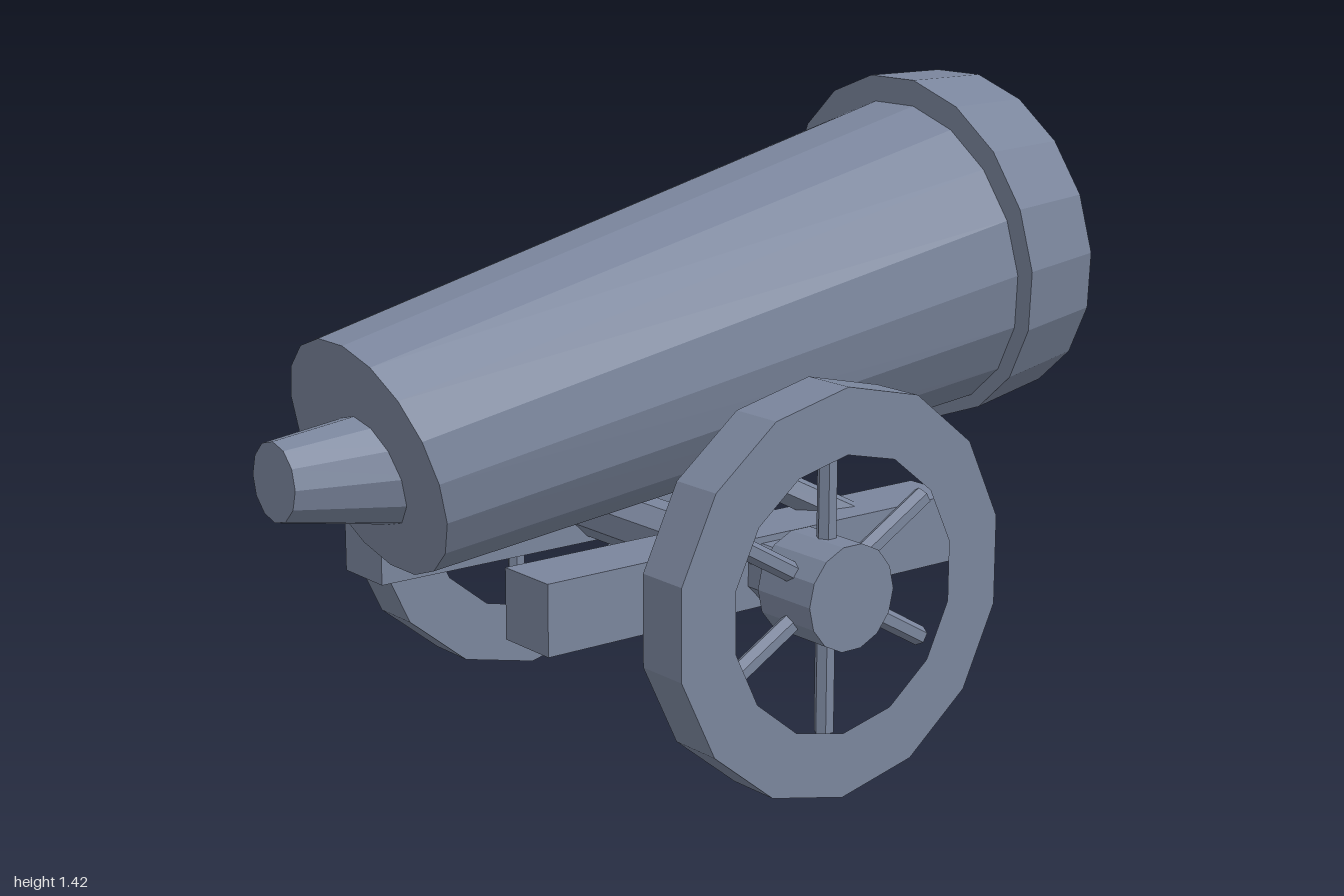
import * as THREE from 'three';

const iron = new THREE.MeshStandardMaterial({ color: 0x7a859c });
iron.name = 'slate iron';

// Faceted mesh: every face gets its own normal
function part(name, geometry, parent) {
  const g = geometry.index ? geometry.toNonIndexed() : geometry;
  g.computeVertexNormals();
  const mesh = new THREE.Mesh(g, iron);
  mesh.name = name;
  parent.add(mesh);
  return mesh;
}

// Closed loft through tilted polygon rings [z, y, radius, tilt], listed front to back
function loft(rings, sides) {
  const pos = [];
  const point = ([z, y, r, tilt], i) => {
    const a = (i / sides) * Math.PI * 2;
    const h = r * Math.sin(a);
    return [r * Math.cos(a), y + h * Math.cos(tilt), z + h * Math.sin(tilt)];
  };
  const first = rings[0], last = rings[rings.length - 1];
  for (let i = 0; i < sides; i++) {
    for (let k = 0; k + 1 < rings.length; k++) {
      const p0 = point(rings[k], i), p1 = point(rings[k], i + 1);
      const q0 = point(rings[k + 1], i), q1 = point(rings[k + 1], i + 1);
      pos.push(...p0, ...q0, ...p1, ...p1, ...q0, ...q1);
    }
    pos.push(0, first[1], first[0], ...point(first, i), ...point(first, i + 1));
    pos.push(0, last[1], last[0], ...point(last, i + 1), ...point(last, i));
  }
  const g = new THREE.BufferGeometry();
  g.setAttribute('position', new THREE.Float32BufferAttribute(pos, 3));
  return g;
}

// Regular polygon outline with a corner at the top
function polygon(radius, sides) {
  return Array.from({ length: sides }, (_, i) => {
    const a = (i / sides) * Math.PI * 2;
    return new THREE.Vector2(radius * Math.sin(a), radius * Math.cos(a));
  });
}

// Straight bar between two points
function bar(name, from, to, radius, sides, parent) {
  const dir = to.clone().sub(from);
  const mesh = part(name, new THREE.CylinderGeometry(radius, radius, dir.length(), sides), parent);
  mesh.position.copy(from).add(to).multiplyScalar(0.5);
  mesh.quaternion.setFromUnitVectors(new THREE.Vector3(0, 1, 0), dir.normalize());
  return mesh;
}

function makeWheel() {
  const wheel = new THREE.Group();
  wheel.name = 'wheel';

  // Rim
  const shape = new THREE.Shape(polygon(0.445, 14));
  shape.holes.push(new THREE.Path(polygon(0.302, 14)));
  const rim = new THREE.ExtrudeGeometry(shape, { depth: 0.125, bevelEnabled: false });
  rim.translate(0, 0, -0.0625).rotateY(Math.PI / 2);
  part('rim', rim, wheel);

  // Hub
  part('hub', new THREE.CylinderGeometry(0.116, 0.116, 0.165, 14).rotateZ(Math.PI / 2), wheel);

  // Six spokes
  for (let i = 0; i < 6; i++) {
    const a = (i / 6) * Math.PI * 2;
    const dir = new THREE.Vector3(0, Math.cos(a), Math.sin(a));
    bar('spoke', dir.clone().multiplyScalar(0.08), dir.clone().multiplyScalar(0.315), 0.022, 6, wheel);
  }
  return wheel;
}

export function createModel() {
  const model = new THREE.Group();
  model.name = 'cannon';

  // Barrel, muzzle and rear knob
  const barrel = new THREE.Group();
  barrel.name = 'barrelAssembly';
  model.add(barrel);
  part('barrel', loft([[0.78, 0.735, 0.271, 0.304], [-0.74, 1.002, 0.37, 0.137]], 18), barrel);
  part('muzzleRing', loft([[-0.725, 1.015, 0.416, 0.137], [-0.937, 1.034, 0.396, 0.141]], 18), barrel);
  part('muzzlePlug', loft([[-0.88, 1.03, 0.247, 0], [-0.957, 1.03, 0.226, 0]], 18), barrel);
  part('rearKnob', loft([[1.0, 0.719, 0.085, 0], [0.7, 0.71, 0.131, 0]], 12), barrel);

  // Carriage
  const carriage = new THREE.Group();
  carriage.name = 'carriage';
  model.add(carriage);
  const axleY = 0.447, axleZ = 0.017;
  const axle = part('axle', new THREE.CylinderGeometry(0.068, 0.068, 1.06, 8)
    .rotateY(Math.PI / 8).rotateZ(Math.PI / 2), carriage);
  axle.position.set(0, axleY, axleZ);

  for (const side of [-1, 1]) {
    const rail = part('sideRail', new THREE.BoxGeometry(0.15, 0.155, 1.135), carriage);
    rail.position.set(side * 0.315, 0.447, 0.036);

    // Slanted support under the barrel
    bar('strut', new THREE.Vector3(side * 0.32, 0.475, -0.32),
      new THREE.Vector3(side * 0.195, 0.66, 0.02), 0.036, 6, carriage);

    const wheel = makeWheel();
    wheel.name = side > 0 ? 'leftWheel' : 'rightWheel';
    wheel.position.set(side * 0.568, axleY, axleZ);
    carriage.add(wheel);
  }
  return model;
}
